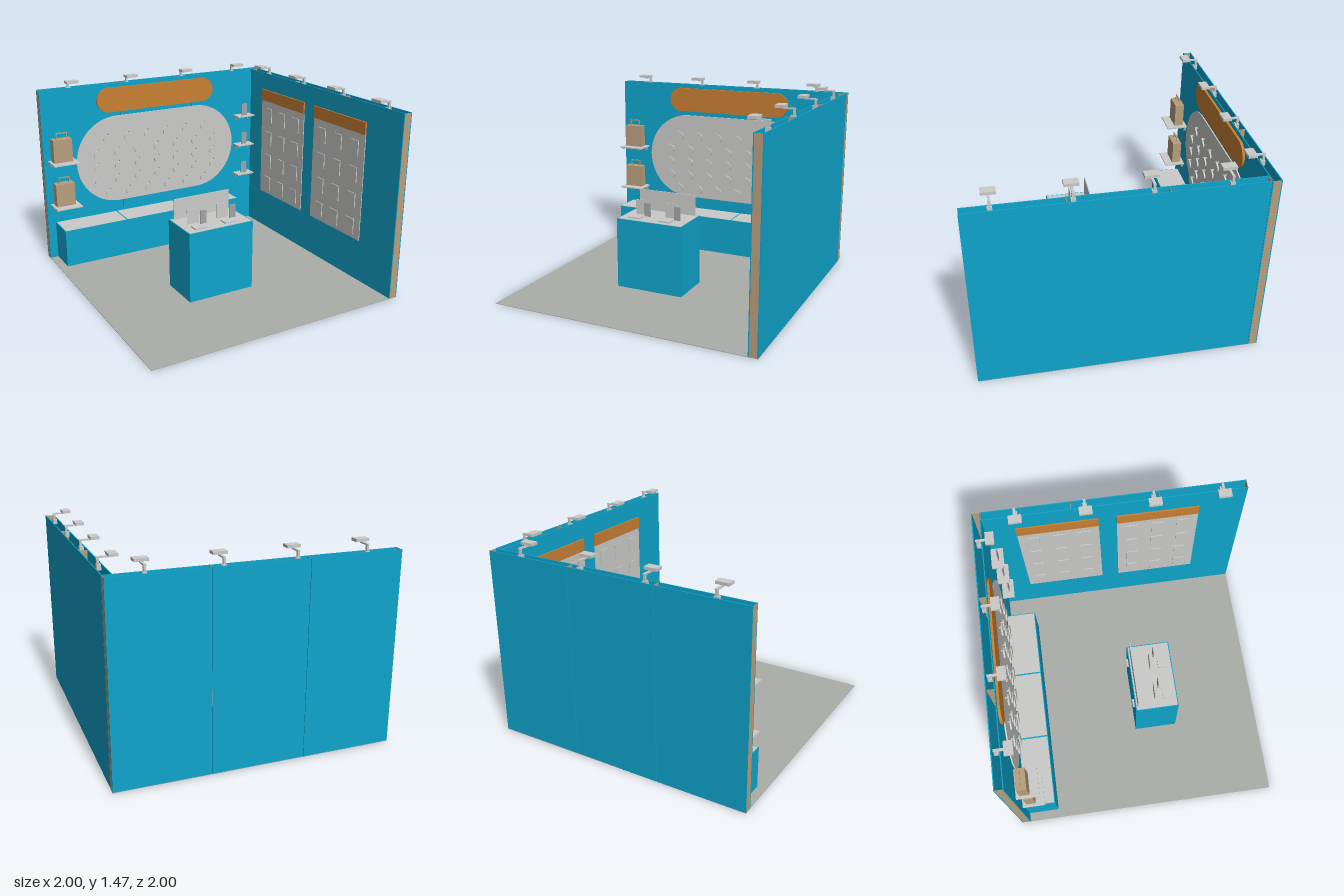
import * as THREE from 'three';

const mat = (name, color) => {
  const m = new THREE.MeshStandardMaterial({ color });
  m.name = name;
  return m;
};

export function createModel() {
  const root = new THREE.Group();
  root.name = 'exhibitionBooth';
  const blue = mat('boothBlue', 0x0fa5cc);
  const white = mat('lightGrey', 0xcbcbc9);
  const floorGrey = mat('floorGrey', 0xabada9);
  const grey = mat('midGrey', 0xa3a5a5);
  const tan = mat('tan', 0xb89f7d);
  const orange = mat('orange', 0xc98033);

  const group = (name, parent = root) => {
    const g = new THREE.Group();
    g.name = name;
    parent.add(g);
    return g;
  };
  const add = (parent, name, geo, material) => {
    const m = new THREE.Mesh(geo, material);
    m.name = name;
    parent.add(m);
    return m;
  };
  // Box given by its lower and upper limits on each axis
  const box = (parent, name, material, x0, x1, y0, y1, z0, z1) => {
    const m = add(parent, name, new THREE.BoxGeometry(x1 - x0, y1 - y0, z1 - z0), material);
    m.position.set((x0 + x1) / 2, (y0 + y1) / 2, (z0 + z1) / 2);
    return m;
  };
  // Board with half-round ends
  const stadium = (name, material, x0, x1, y0, y1, z0, depth) => {
    const r = (y1 - y0) / 2, cy = (y0 + y1) / 2;
    const s = new THREE.Shape();
    s.absarc(x1 - r, cy, r, -Math.PI / 2, Math.PI / 2, false);
    s.absarc(x0 + r, cy, r, Math.PI / 2, Math.PI * 1.5, false);
    s.closePath();
    const geo = new THREE.ExtrudeGeometry(s, { depth, bevelEnabled: false, curveSegments: 32 });
    add(root, name, geo, material).position.z = z0;
  };

  // Floor
  box(root, 'floor', floorGrey, -1, 1, 0, 0.004, -1, 1);

  // Hollow back wall: two skins of three panels, ribs and end boards
  const H = 1.4, T = 0.007, gap = 0.0015;
  const back = group('backWall');
  for (const [a, b] of [[-1, -0.333], [-0.333, 0.333], [0.333, 1]]) {
    const x0 = a === -1 ? a : a + gap, x1 = b === 1 ? b : b - gap;
    box(back, 'rearPanel', blue, x0, x1, 0, H, -1, -1 + T);
    box(back, 'frontPanel', blue, x0, x1, 0, H, -0.942, -0.935);
  }
  for (const x of [-0.998, -0.333, 0.333, 0.998])
    box(back, 'wallRib', tan, x - 0.002, x + 0.002, 0, H - 0.002, -1 + T, -0.942);

  // Hollow side wall
  const side = group('sideWall');
  box(side, 'outerPanel', blue, 1 - T, 1, 0, H, -0.933, 1);
  box(side, 'innerPanel', blue, 0.932, 0.939, 0, H, -0.933, 1);
  for (const z of [-0.931, -0.288, 0.355, 0.998])
    box(side, 'wallRib', tan, 0.939, 1 - T, 0, H - 0.002, z - 0.002, z + 0.002);

  // Rounded display board and header sign
  stadium('displayBoard', white, -0.73, 0.73, 0.405, 1.135, -0.935, 0.01);
  stadium('headerSign', orange, -0.535, 0.53, 1.17, 1.37, -0.935, 0.018);

  // Oval samples on pegs
  const samples = group('displaySamples');
  const ovalGeo = new THREE.CylinderGeometry(1, 1, 1, 24).rotateX(Math.PI / 2);
  const rows = [[0.955, 6], [0.835, 7], [0.72, 7], [0.602, 7], [0.485, 6]];
  for (const [y, n] of rows) {
    for (let i = 0; i < n; i++) {
      const x = (i - (n - 1) / 2) * 0.18;
      const oval = add(samples, 'ovalSample', ovalGeo, white);
      oval.scale.set(0.048, 0.036, 0.012);
      oval.position.set(x, y - 0.003, -0.906);
      box(samples, 'samplePeg', white, x - 0.004, x + 0.004, y + 0.028, y + 0.04, -0.926, -0.9);
    }
  }

  // Low cabinets along the back wall
  const cabinets = group('lowCabinets');
  [[-0.935, -0.402], [-0.402, 0.13], [0.13, 0.662]].forEach(([a, b]) => {
    box(cabinets, 'cabinet', blue, a, b, 0, 0.305, -0.934, -0.705);
    box(cabinets, 'cabinetTop', white, a + 0.006, b - 0.006, 0.303, 0.307, -0.934, -0.711);
  });

  // Reception counter
  const counter = group('counter');
  box(counter, 'counterBody', blue, -0.37, 0.16, 0, 0.54, 0, 0.33);
  box(counter, 'counterTop', white, -0.363, 0.153, 0.537, 0.542, 0.007, 0.323);
  box(counter, 'counterScreen', white, -0.337, 0.13, 0.541, 0.7, 0.017, 0.025);
  for (const x of [-0.27, 0.065])
    box(counter, 'doorHandle', white, x - 0.03, x + 0.03, 0.42, 0.44, -0.015, 0);
  for (const x of [-0.25, -0.003]) {
    box(counter, 'uprightTablet', white, x - 0.048, x + 0.048, 0.542, 0.655, 0.153, 0.159);
    box(counter, 'uprightPhone', grey, x + 0.041, x + 0.093, 0.542, 0.645, 0.191, 0.197);
    box(counter, 'flatTray', white, x - 0.048, x + 0.048, 0.542, 0.552, 0.22, 0.287);
  }

  // Wall shelf with a bracket at each end
  const shelf = (x0, x1, y, zFront) => {
    const g = group('wallShelf');
    box(g, 'shelfBoard', white, x0, x1, y - 0.01, y, -0.935, zFront);
    for (const x of [x0 + 0.02, x1 - 0.025]) {
      box(g, 'shelfBracket', grey, x - 0.006, x + 0.006, y - 0.045, y - 0.01, -0.935, -0.915);
      box(g, 'bracketArm', grey, x - 0.006, x + 0.006, y - 0.022, y - 0.01, -0.915, zFront - 0.02);
    }
    return g;
  };

  // Left shelves with carrier bags
  for (const y of [0.835, 0.47]) {
    const g = shelf(-0.967, -0.755, y, -0.77);
    box(g, 'bag', tan, -0.945, -0.79, y, y + 0.185, -0.908, -0.836);
    for (const x of [-0.91, -0.826])
      box(g, 'bagHandleSide', tan, x, x + 0.008, y + 0.185, y + 0.235, -0.876, -0.868);
    box(g, 'bagHandleTop', tan, -0.91, -0.818, y + 0.227, y + 0.235, -0.876, -0.868);
  }

  // Right shelves with small upright devices
  for (const y of [1.006, 0.742, 0.47]) {
    const g = shelf(0.75, 0.914, y, -0.84);
    box(g, 'device', grey, 0.805, 0.858, y, y + 0.105, -0.883, -0.876);
  }

  // Posters on the side wall: header, sheet and framed pictures
  for (const [z0, z1] of [[-0.71, -0.1], [0.035, 0.65]]) {
    const g = group('poster');
    box(g, 'posterHeader', orange, 0.903, 0.915, 1.17, 1.265, z0, z1);
    box(g, 'posterSheet', white, 0.909, 0.915, 0.34, 1.17, z0, z1);
    for (let c = -1; c <= 1; c++) {
      const z = (z0 + z1) / 2 + c * 0.195;
      for (let r = 0; r < 4; r++) {
        const y = 1.05 - r * 0.205;
        box(g, 'posterPicture', white, 0.902, 0.909, y - 0.06, y + 0.06, z - 0.045, z + 0.045);
      }
    }
    for (const z of [z0 + 0.1, z1 - 0.1])
      box(g, 'posterSpacer', white, 0.915, 0.932, 1.0, 1.02, z - 0.01, z + 0.01);
  }

  // Clip-on spotlight facing local +z
  const lamp = (x, z, turn) => {
    const g = group('spotlight');
    box(g, 'lampClamp', white, -0.016, 0.016, 1.365, 1.402, -0.015, 0.015);
    box(g, 'lampStem', white, -0.008, 0.008, 1.4, 1.45, -0.012, 0.004);
    box(g, 'lampArm', white, -0.009, 0.009, 1.44, 1.45, -0.015, 0.075);
    box(g, 'lampHead', white, -0.048, 0.048, 1.45, 1.47, 0.055, 0.117);
    g.position.set(x, 0, z);
    g.rotation.y = turn;
  };
  for (const x of [-0.753, -0.253, 0.247, 0.747]) lamp(x, -0.962, 0);
  for (const z of [-0.688, -0.188, 0.312, 0.812]) lamp(0.958, z, -Math.PI / 2);

  return root;
}
